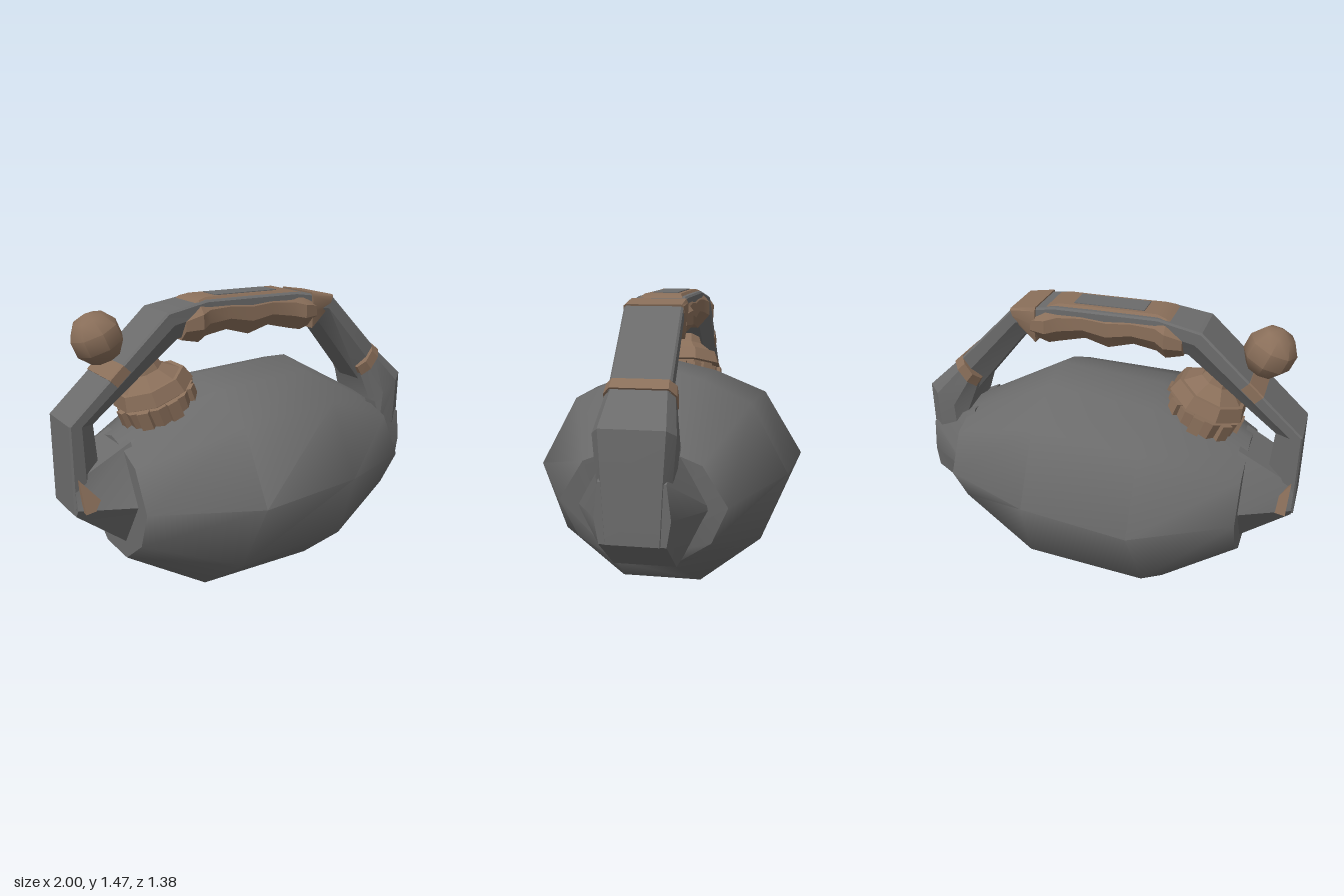
import * as THREE from 'three';
import { toCreasedNormals } from 'three/addons/utils/BufferGeometryUtils.js';

const metal = new THREE.MeshStandardMaterial({ color: 0x6b6b6b, name: 'grey metal' });
const brown = new THREE.MeshStandardMaterial({ color: 0x8a6f5a, name: 'brown' });

// Closed loft through rings of [x, y, z] points, with both ends capped
function loft(rings, crease = 0.6) {
  const n = rings[0].length, pts = rings.flat(), idx = [];
  for (let r = 0; r < rings.length - 1; r++) {
    for (let i = 0; i < n; i++) {
      const a = r * n + i, b = r * n + (i + 1) % n;
      idx.push(a, b, b + n, a, b + n, a + n);
    }
  }
  const last = (rings.length - 1) * n;
  for (let i = 1; i < n - 1; i++) {
    idx.push(0, i + 1, i, last, last + i, last + i + 1);
  }
  // turn the faces outward if the enclosed volume is negative
  const v = idx.map(i => new THREE.Vector3(...pts[i]));
  let volume = 0;
  for (let i = 0; i < v.length; i += 3) volume += v[i].dot(v[i + 1].clone().cross(v[i + 2]));
  if (volume < 0) idx.reverse();
  const g = new THREE.BufferGeometry();
  g.setAttribute('position', new THREE.Float32BufferAttribute(pts.flat(), 3));
  g.setIndex(idx);
  return toCreasedNormals(g, crease);
}

// Strap through stations [outerX, outerY, innerX, innerY, halfWidth];
// profile holds [depth from outer to inner, share of the half width]
function strap(stations, profile, crease) {
  const full = [...profile, ...profile.map(([d, w]) => [d, -w]).reverse()];
  return loft(stations.map(([ox, oy, ix, iy, hw]) =>
    full.map(([d, w]) => [ox + (ix - ox) * d, oy + (iy - oy) * d, hw * w])), crease);
}

export function createModel() {
  const model = new THREE.Group();
  const add = (name, geometry, material, parent = model) => {
    const m = new THREE.Mesh(geometry, material);
    m.name = name;
    parent.add(m);
    return m;
  };

  // Body: rounded polygon sections [xBottom, xTop, yBottom, yTop, halfDepth]
  const half = [[0.32, 0], [0.8, 0.22], [1, 0.53], [0.7, 0.85], [0.3, 0.955]];
  const section = [...half, [0, 1], ...half.map(([z, v]) => [-z, v]).reverse()];
  const body = [
    [-0.74, -0.74, 0.21, 0.82, 0.385],
    [-0.35, -0.27, 0.005, 1.07, 0.69],
    [0.3, 0.28, 0.01, 1.11, 0.635],
    [0.72, 0.78, 0.25, 0.84, 0.39],
  ];
  add('body', loft(body.map(([xb, xt, lo, hi, hz]) =>
    section.map(([z, v]) => [xb + (xt - xb) * Math.min(1, v * 1.8), lo + (hi - lo) * v, z * hz])), 0.95), metal);

  // Handle
  const handleProfile = [[0, 0.93], [0.06, 1], [0.45, 1], [1, 0.6]];
  add('handle', strap([
    [-1, 0.5, -0.84, 0.6, 0.14],
    [-1, 0.94, -0.865, 0.92, 0.14],
    [-0.48, 1.42, -0.41, 1.28, 0.14],
    [-0.26, 1.46, -0.26, 1.31, 0.125],
    [0.27, 1.46, 0.27, 1.31, 0.125],
    [0.49, 1.43, 0.45, 1.28, 0.14],
    [0.83, 1.09, 0.74, 0.93, 0.14],
  ], handleProfile, 0.5), metal);

  // Wider clasp at the handle's left end, and its band
  add('clasp', strap([
    [0.81, 1.11, 0.72, 0.98, 0.155],
    [0.985, 0.95, 0.78, 0.82, 0.185],
    [0.995, 0.68, 0.78, 0.66, 0.165],
    [0.995, 0.44, 0.74, 0.4, 0.15],
  ], [[0, 0.8], [0.25, 1], [0.7, 1], [1, 0.75]], 0.5), metal);
  add('claspBand', strap([
    [0.79, 1.135, 0.7, 1.01, 0.16],
    [0.835, 1.1, 0.73, 0.96, 0.165],
  ], [[0, 0.8], [0.25, 1], [0.7, 1], [1, 0.75]]), brown);

  // Wedge shaped brackets that join the handle to the body
  const bracketRing = (x, top, mid, low, zt, zm, zl) =>
    [[x, top, zt], [x, mid, zm], [x, low, zl], [x, low, -zl], [x, mid, -zm], [x, top, -zt]];
  add('leftBracket', loft([
    bracketRing(0.73, 0.84, 0.54, 0.25, 0.16, 0.32, 0.15),
    bracketRing(0.99, 0.72, 0.56, 0.44, 0.15, 0.17, 0.15),
  ]), metal);
  add('rightBracket', loft([
    bracketRing(-0.7, 0.82, 0.54, 0.27, 0.14, 0.31, 0.12),
    bracketRing(-0.99, 0.66, 0.53, 0.49, 0.13, 0.16, 0.13),
  ]), metal);

  // Brown corners on both sides of the right bracket
  for (const s of [1, -1]) {
    const corner = z => [[-0.975, 0.68], [-0.855, 0.54], [-0.965, 0.52]].map(([x, y], i) =>
      [x, y, s * (z + (i ? 0.045 : 0))]);
    add('bracketCorner', loft([corner(0.1), corner(0.155)]), brown);
  }

  // Grip: stations [x, top, bottom, halfWidth] with finger waves below
  const grip = [
    [-0.385, 1.41, 1.27, 0.135], [-0.3, 1.46, 1.255, 0.16], [-0.25, 1.472, 1.28, 0.135],
    [-0.13, 1.472, 1.3, 0.13], [0, 1.472, 1.265, 0.13], [0.12, 1.472, 1.3, 0.13],
    [0.25, 1.472, 1.27, 0.135], [0.31, 1.455, 1.26, 0.16], [0.39, 1.43, 1.28, 0.142],
  ];
  add('grip', strap(grip.map(([x, t, b, w]) => [x, t, x, b, w]),
    [[0, 0.66], [0.3, 1], [0.65, 1], [1, 0.6]], 0.5), brown);
  const plate = add('gripPlate', new THREE.BoxGeometry(0.36, 0.006, 0.13), metal);
  plate.position.set(0, 1.473, 0);

  // Brown end of the handle beside the grip
  add('gripCollar', strap([
    [0.36, 1.455, 0.37, 1.265, 0.143],
    [0.495, 1.435, 0.47, 1.36, 0.143],
  ], [[0, 0.93], [0.1, 1], [0.5, 1], [1, 0.9]]), brown);

  // Tilted stepped cap on top of the body
  const cap = new THREE.Group();
  cap.name = 'cap';
  cap.position.set(-0.475, 0.93, 0);
  cap.rotation.z = 0.36;
  model.add(cap);
  const ring = (name, rTop, rBottom, y0, y1) => {
    const g = new THREE.CylinderGeometry(rTop, rBottom, y1 - y0, 8).toNonIndexed();
    g.rotateY(Math.PI / 8);
    g.translate(0, (y0 + y1) / 2, 0);
    g.computeVertexNormals();
    add(name, g, brown, cap);
  };
  ring('capBase', 0.2, 0.19, -0.07, 0.07);
  ring('capNeck', 0.17, 0.17, 0.07, 0.1);
  ring('capFlange', 0.185, 0.21, 0.09, 0.16);
  ring('capShoulder', 0.09, 0.165, 0.16, 0.215);
  ring('capStem', 0.055, 0.09, 0.215, 0.32);
  for (let i = 0; i < 8; i++) {
    const a = i * Math.PI / 4;
    const tooth = add('capTooth', new THREE.BoxGeometry(0.035, 0.09, 0.06), brown, cap);
    tooth.position.set(Math.cos(a) * 0.19, 0.03, Math.sin(a) * 0.19);
    tooth.rotation.y = -a;
  }

  // Ball knob resting on the handle, with a brown band beneath it
  const knob = add('knob', toCreasedNormals(new THREE.SphereGeometry(0.13, 8, 5), 0.8), brown);
  knob.position.set(-0.79, 1.31, 0);
  knob.rotation.z = 0.4;
  add('knobBand', strap([
    [-0.795, 1.135, -0.755, 1.095, 0.144],
    [-0.725, 1.2, -0.685, 1.16, 0.144],
  ], [[0, 0.95], [0.1, 1], [1, 1]]), brown);

  return model;
}
